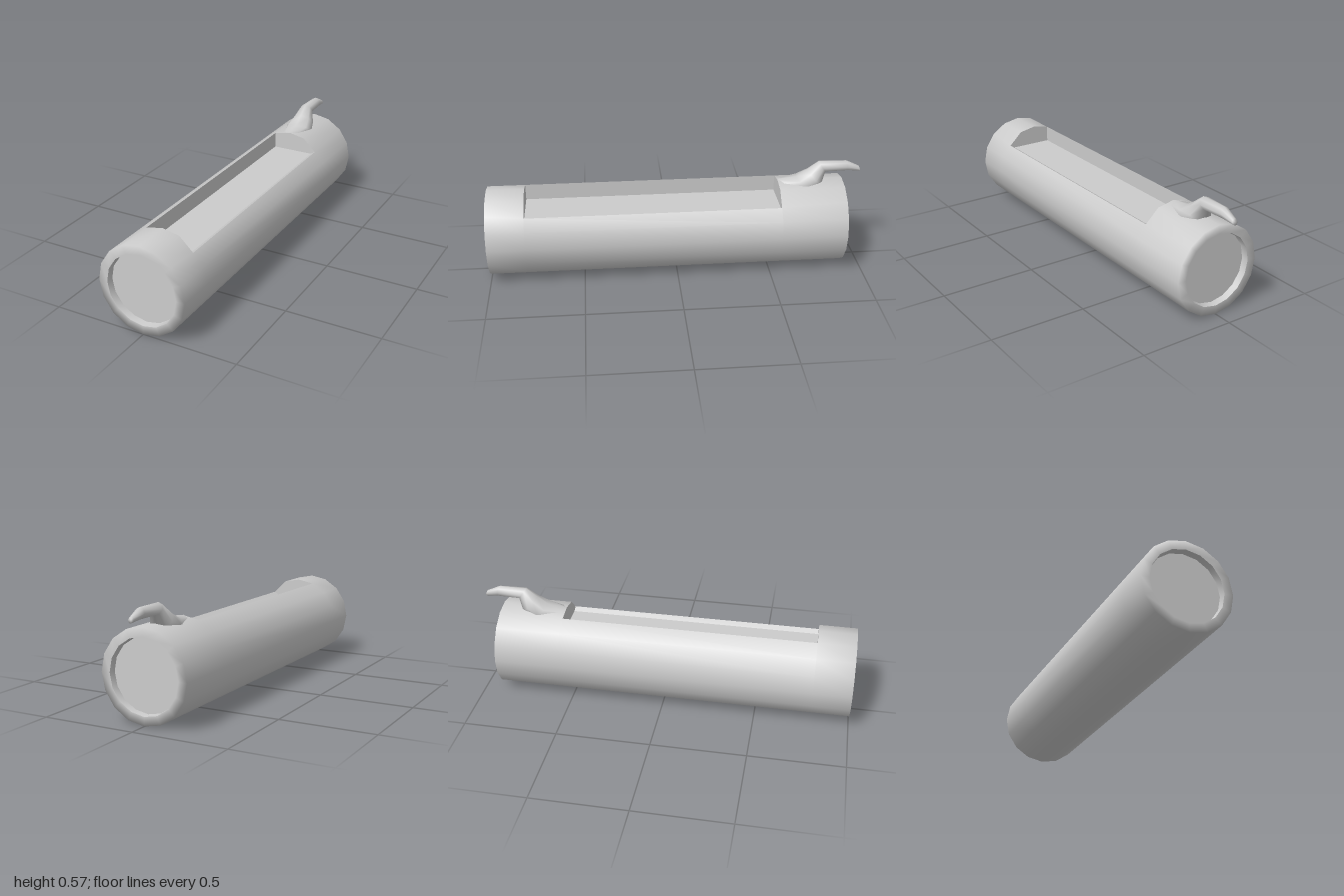
import * as THREE from 'three';

const SIDES = 16, CY = 0.237;
const SLOT_FRONT = 0.8, SLOT_BACK = -0.55;

// Skin closed rings of [x, y, z] points; skip(i, j) leaves a cell open
function loft(rings, skip = () => false) {
  const n = rings[0].length, index = [];
  for (let i = 0; i < rings.length - 1; i++) {
    for (let j = 0; j < n; j++) {
      if (skip(i, j)) continue;
      const k = (j + 1) % n;
      const a = i * n + j, b = i * n + k, c = b + n, d = a + n;
      index.push(a, d, b, b, d, c);
    }
  }
  const g = new THREE.BufferGeometry();
  g.setAttribute('position', new THREE.Float32BufferAttribute(rings.flat(2), 3));
  g.setIndex(index);
  g.computeVertexNormals();
  return g;
}

function circleRing(r, z) {
  return Array.from({ length: SIDES }, (_, j) => {
    const a = (j / SIDES) * Math.PI * 2;
    return [r * Math.cos(a), CY + r * Math.sin(a), z];
  });
}

export function createModel() {
  const group = new THREE.Group();
  const mat = new THREE.MeshStandardMaterial({ color: 0xcccccc });
  const thin = new THREE.MeshStandardMaterial({ color: 0xcccccc, side: THREE.DoubleSide });
  const add = (name, geometry, material = mat) => {
    const m = new THREE.Mesh(geometry, material);
    m.name = name;
    group.add(m);
    return m;
  };

  // Log shell with rims at both ends; three top facets are left open for the trough
  const profile = [[0.19, 1], [0.236, 1], [0.236, SLOT_FRONT],
    [0.236, SLOT_BACK], [0.236, -0.9], [0.19, -0.9]];
  const rings = profile.map(([r, z]) => circleRing(r, z));
  const lip = [0.163, 0.385];
  for (const i of [2, 3]) [rings[i][2][0], rings[i][2][1]] = lip;
  add('logShell', loft(rings, (i, j) => i === 2 && j >= 2 && j <= 4));

  // Shallow recess at each end
  add('frontRecessWall', loft([circleRing(0.186, 0.965), circleRing(0.19, 1)]));
  add('backRecessWall', loft([circleRing(0.19, -0.9), circleRing(0.186, -0.865)]));
  const disc = new THREE.CircleGeometry(0.186, SIDES);
  add('frontEndGrain', disc).position.set(0, CY, 0.965);
  const back = add('backEndGrain', disc);
  back.position.set(0, CY, -0.865);
  back.rotation.y = Math.PI;

  // Trough: side wall, floor and low lip
  const wallTop = rings[2][5].slice(0, 2);
  const floorY = 0.369;
  const section = [wallTop, [wallTop[0], floorY], [0.137, floorY], lip];
  ['troughWall', 'troughFloor', 'troughLip'].forEach((name, i) => {
    const [p, q] = [section[i], section[i + 1]];
    const g = new THREE.BufferGeometry();
    g.setAttribute('position', new THREE.Float32BufferAttribute([
      ...p, SLOT_FRONT, ...q, SLOT_FRONT, ...q, SLOT_BACK, ...p, SLOT_BACK], 3));
    g.setIndex([0, 1, 2, 0, 2, 3]);
    g.computeVertexNormals();
    add(name, g, thin);
  });

  // Trough end walls, closed above by the log's top facets
  const arch = [...section, rings[2][3], rings[2][4]];
  const end = new THREE.ShapeGeometry(new THREE.Shape(arch.map(([x, y]) => new THREE.Vector2(x, y))));
  add('troughFrontEnd', end, thin).position.z = SLOT_FRONT;
  add('troughBackEnd', end, thin).position.z = SLOT_BACK;

  // Bent twig: each section is [top z, top y, bottom z, bottom y, half width]
  const twig = [
    [-0.552, 0.474, -0.60, 0.40, 0.05],
    [-0.65, 0.486, -0.73, 0.42, 0.08],
    [-0.71, 0.525, -0.79, 0.435, 0.062],
    [-0.77, 0.57, -0.81, 0.512, 0.036],
    [-0.92, 0.57, -0.93, 0.512, 0.027],
    [-0.99, 0.537, -1, 0.506, 0.015],
    [-0.995, 0.522, -0.995, 0.522, 0],
  ].map(([zt, yt, zb, yb, w]) => Array.from({ length: 8 }, (_, j) => {
    const a = (j / 8) * Math.PI * 2, t = (1 + Math.sin(a)) / 2;
    return [w * Math.cos(a) - 0.005, yb + (yt - yb) * t, zb + (zt - zb) * t];
  }));
  add('twig', loft(twig));

  return group;
}
